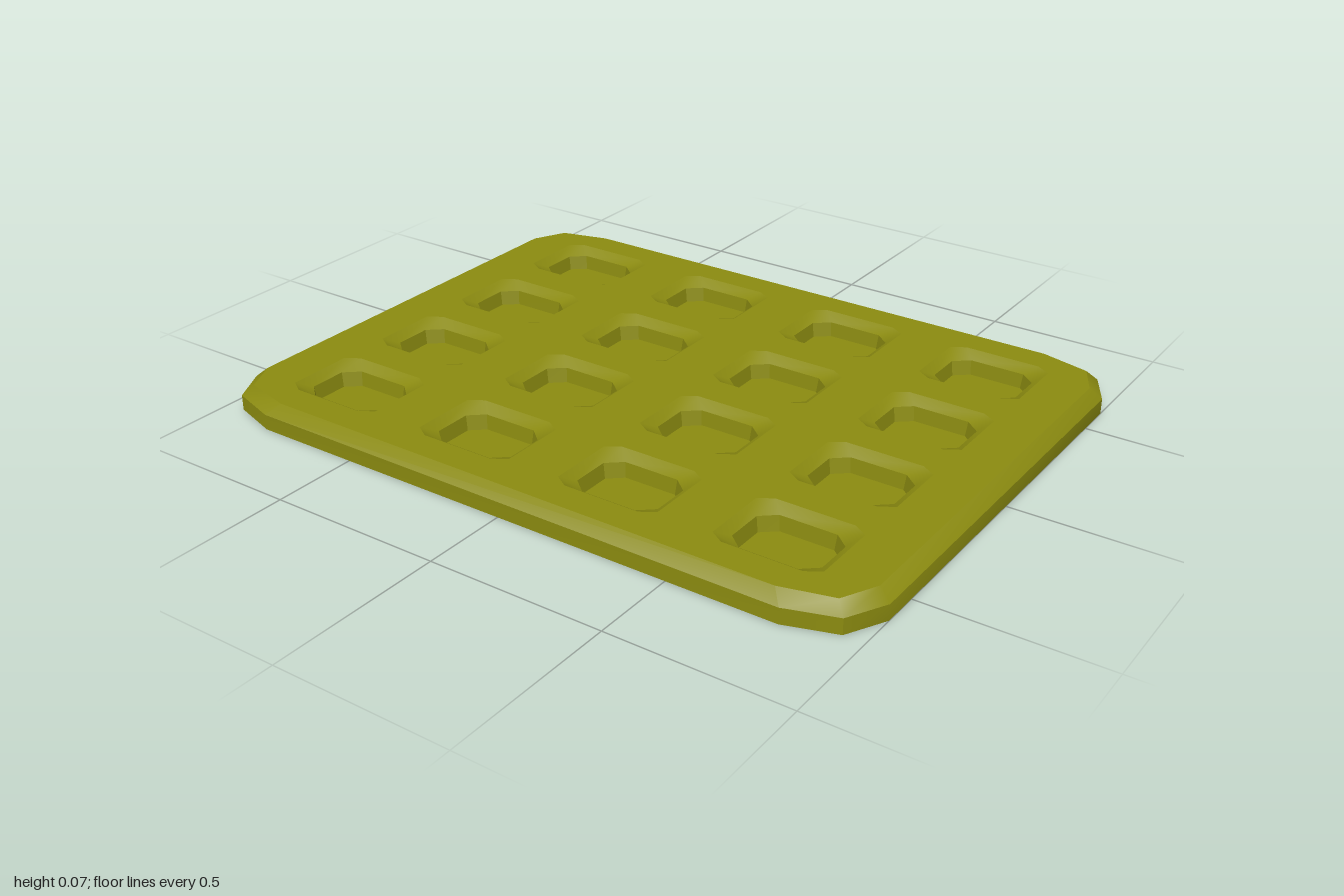
import * as THREE from 'three';
import { toCreasedNormals } from 'three/addons/utils/BufferGeometryUtils.js';

const material = new THREE.MeshStandardMaterial({ color: 0x8a8a10, side: THREE.DoubleSide });

// Heights of the shell
const TOP = 0.073, SHOULDER = 0.044, FLOOR = 0.01;

// Mirror one corner's points into a closed counter-clockwise ring
function ring(corner, cx = 0, cy = 0) {
  const back = [...corner].reverse();
  return [
    ...corner,
    ...back.map(([x, y]) => [-x, y]),
    ...corner.map(([x, y]) => [-x, -y]),
    ...back.map(([x, y]) => [x, -y]),
  ].map(([x, y]) => new THREE.Vector2(x + cx, y + cy));
}

// Box outline with cut corners
const cutBox = (hx, hy, cutX, cutY, cx, cy) =>
  ring([[hx, hy - cutY], [hx - cutX, hy]], cx, cy);

// Walls joining successive rings, each given as [points, height]
function walls(levels) {
  const pos = [];
  const put = (p, y) => pos.push(p.x, y, -p.y);
  for (let k = 0; k < levels.length - 1; k++) {
    const [a, ya] = levels[k], [b, yb] = levels[k + 1];
    a.forEach((p, i) => {
      const j = (i + 1) % a.length;
      put(p, ya); put(a[j], ya); put(b[j], yb);
      put(p, ya); put(b[j], yb); put(b[i], yb);
    });
  }
  const g = new THREE.BufferGeometry();
  g.setAttribute('position', new THREE.Float32BufferAttribute(pos, 3));
  return toCreasedNormals(g, 0.6);
}

// Flat horizontal sheet
const sheet = (shape, y) =>
  new THREE.ShapeGeometry(shape).rotateX(-Math.PI / 2).translate(0, y, 0);

function add(parent, name, geometry) {
  const mesh = new THREE.Mesh(geometry, material);
  mesh.name = name;
  parent.add(mesh);
}

export function createModel() {
  const tray = new THREE.Group();
  tray.name = 'tray';

  // Upright rim and sloping shoulder, open underneath
  const outer = ring([[1, 0.605], [0.943, 0.712], [0.805, 0.757]]);
  const inner = ring([[0.966, 0.592], [0.917, 0.688], [0.775, 0.725]]);
  add(tray, 'rim', walls([[outer, 0], [outer, SHOULDER], [inner, TOP]]));

  // Four by four pockets: sloped lip, steep wall and floor
  const top = new THREE.Shape(inner);
  for (let row = 0; row < 4; row++) {
    for (let col = 0; col < 4; col++) {
      const x = (col - 1.5) * 0.457, y = (1.5 - row) * 0.346;
      const mouth = cutBox(0.15, 0.12, 0.04, 0.025, x, y);
      const throat = cutBox(0.122, 0.09, 0.042, 0.036, x, y);
      const base = cutBox(0.116, 0.085, 0.04, 0.034, x, y);
      top.holes.push(new THREE.Path(mouth));

      const pocket = new THREE.Group();
      pocket.name = `pocket ${row + 1}-${col + 1}`;
      add(pocket, 'pocketWall', walls([[mouth, TOP], [throat, SHOULDER + 0.008], [base, FLOOR]]));
      add(pocket, 'pocketFloor', sheet(new THREE.Shape(base), FLOOR));
      tray.add(pocket);
    }
  }
  add(tray, 'topSheet', sheet(top, TOP));
  return tray;
}
